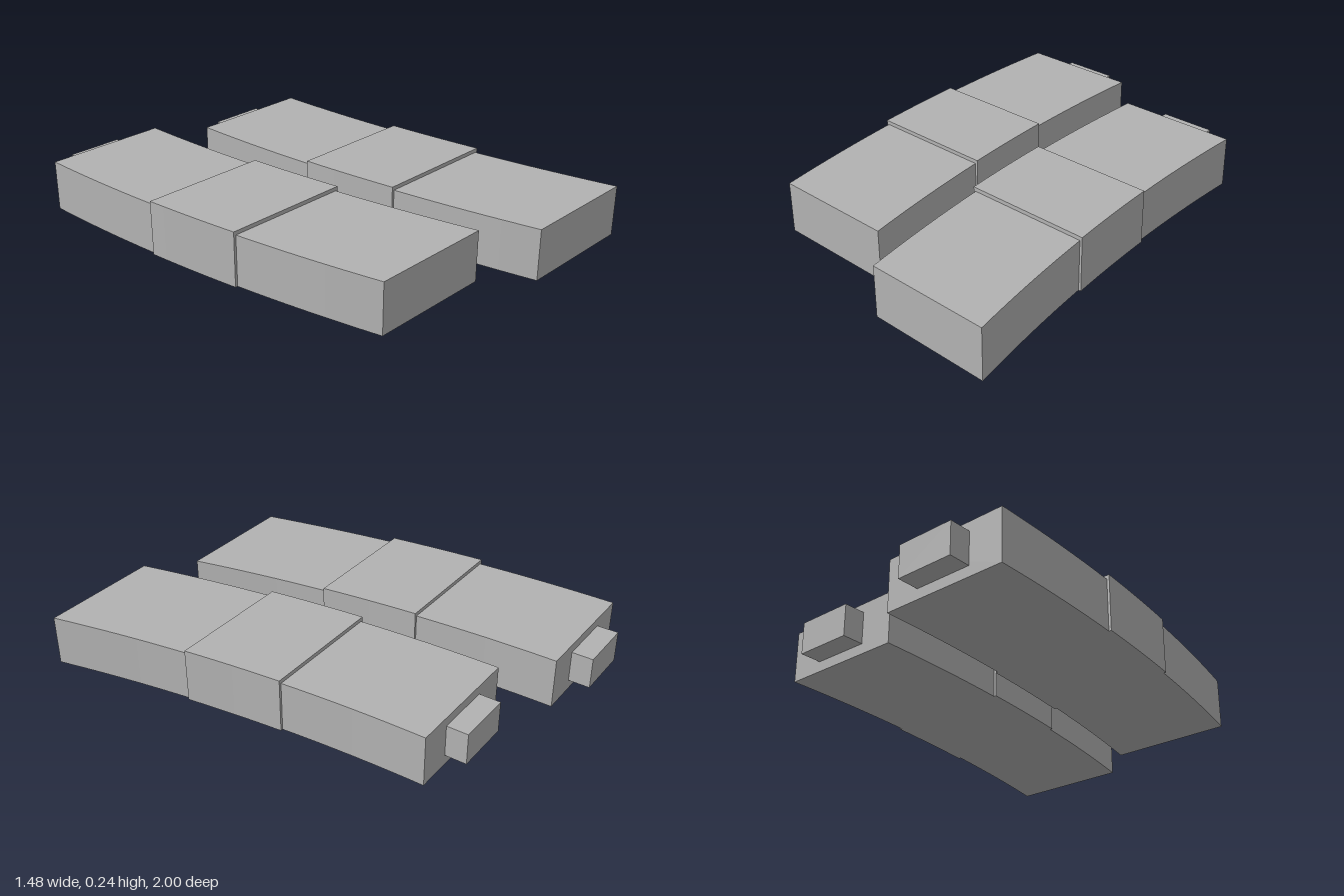
import * as THREE from 'three';

const BACK = -0.905, FRONT = 0.83, LEFT = -0.742, WIDTH = 0.556;

// Sideways drift of the strip, growing quadratically toward the front
const drift = (z) => 0.0655 * (z - BACK) ** 2;

// Curved slab between z0 and z1, widened by pad on both sides
function slab(z0, z1, height, pad, segments) {
  const near = [], far = [];
  for (let i = 0; i <= segments; i++) {
    const z = z0 + ((z1 - z0) * i) / segments;
    const x = LEFT + drift(z);
    near.push(new THREE.Vector2(x - pad, -z));
    far.unshift(new THREE.Vector2(x + WIDTH + pad, -z));
  }
  const geometry = new THREE.ExtrudeGeometry(new THREE.Shape([...near, ...far]), {
    depth: height, bevelEnabled: false,
  });
  return geometry.rotateX(-Math.PI / 2);
}

export function createModel() {
  const model = new THREE.Group();
  model.name = 'pairOfCurvedStrips';
  const grey = new THREE.MeshStandardMaterial({ color: 0xb2b2b2, flatShading: true });
  grey.name = 'light grey';

  // Back section, raised middle band, front section, rear tab
  const tab = new THREE.BoxGeometry(0.252, 0.14, 0.095);
  tab.translate(-0.464, 0.115, -0.9525);
  const parts = {
    backSection: slab(BACK, -0.26, 0.225, 0, 8),
    middleBand: slab(-0.26, 0.185, 0.242, 0.011, 6),
    frontSection: slab(0.185, FRONT, 0.225, 0, 8),
    rearTab: tab,
  };

  // Two identical strips, the left one set further forward
  for (const [name, x, z] of [['rightStrip', 0, 0], ['leftStrip', 0.728, 0.17]]) {
    const strip = new THREE.Group();
    strip.name = name;
    strip.position.set(x, 0, z);
    for (const [part, geometry] of Object.entries(parts)) {
      const mesh = new THREE.Mesh(geometry, grey);
      mesh.name = part;
      strip.add(mesh);
    }
    model.add(strip);
  }
  return model;
}
